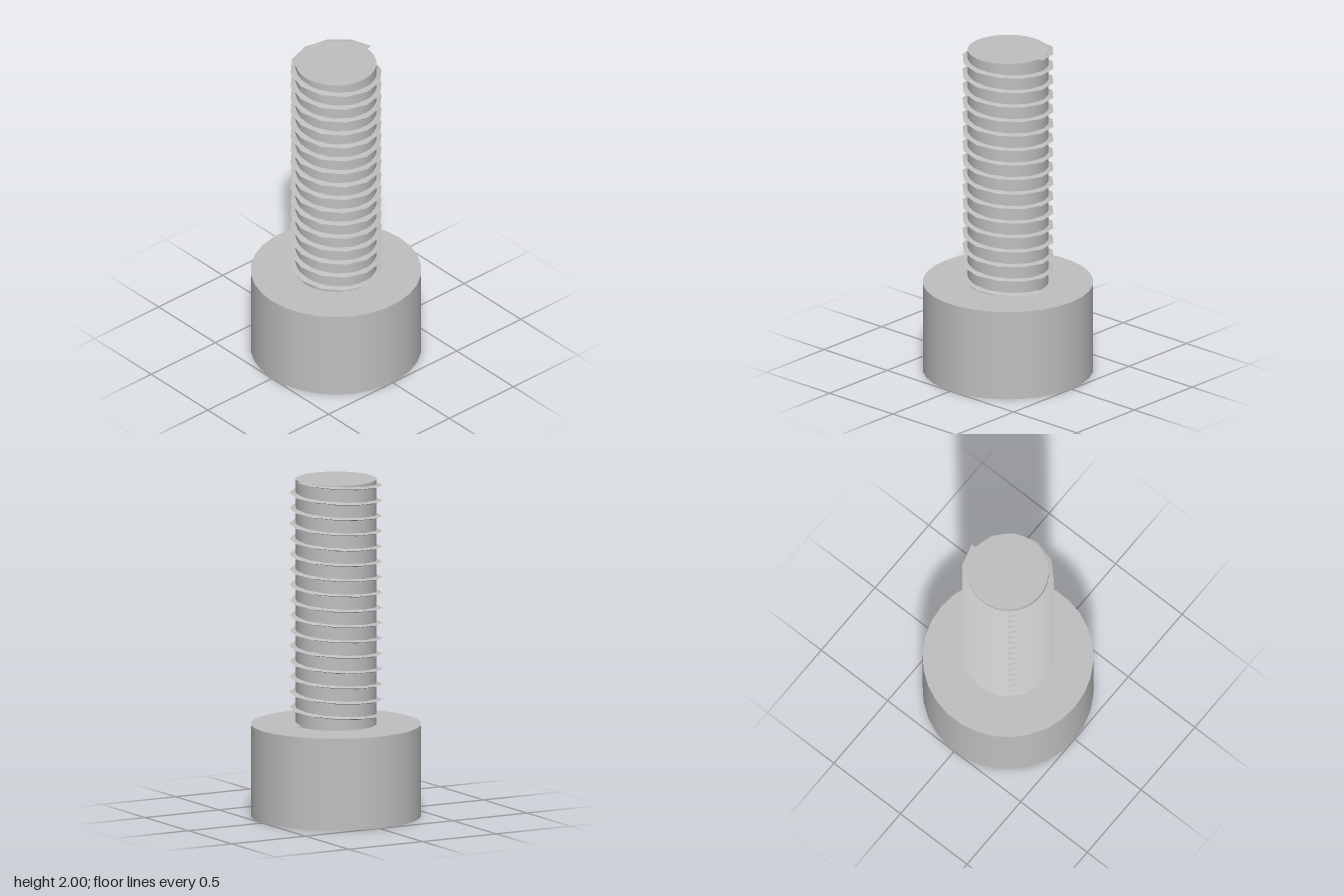
import * as THREE from 'three';
import { toCreasedNormals } from 'three/addons/utils/BufferGeometryUtils.js';

const HEAD_R = 0.5, HEAD_H = 0.545, SIDES = 30;
const HEX_R = 0.262, HEX_DEPTH = 0.213;
const CORE_R = 0.237, TOP = 2;
const TURNS = 16, STEPS = 12, TIP_R = 0.272, ROOT_R = 0.222, ROOT_HALF = 0.014;

// Points of a regular polygon with one corner on +x
function polygon(radius, sides) {
  return Array.from({ length: sides }, (_, i) => {
    const a = (i / sides) * Math.PI * 2;
    return new THREE.Vector2(radius * Math.cos(a), radius * Math.sin(a));
  });
}

// Open tube wall between two heights
function wall(radius, sides, y0, y1) {
  return new THREE.CylinderGeometry(radius, radius, y1 - y0, sides, 1, true, Math.PI / 2)
    .translate(0, (y0 + y1) / 2, 0);
}

// Triangular ridge swept along a helix, from +x towards +z
function threadGeometry() {
  const positions = [], index = [];
  const count = TURNS * STEPS, pitch = (TOP - HEAD_H) / TURNS;
  for (let i = 0; i <= count; i++) {
    const a = (i / STEPS) * Math.PI * 2, y = HEAD_H + (i / STEPS) * pitch;
    for (const [r, dy] of [[ROOT_R, -ROOT_HALF], [TIP_R, 0], [ROOT_R, ROOT_HALF]]) {
      positions.push(r * Math.cos(a), Math.min(y + dy, TOP), r * Math.sin(a));
    }
    if (i === count) continue;
    for (let k = 0; k < 2; k++) {
      const p = i * 3 + k;
      index.push(p, p + 1, p + 3, p + 3, p + 1, p + 4);
    }
  }
  const e = count * 3;
  index.push(0, 2, 1, e, e + 1, e + 2); // end faces
  const g = new THREE.BufferGeometry();
  g.setAttribute('position', new THREE.Float32BufferAttribute(positions, 3));
  g.setIndex(index);
  return toCreasedNormals(g, 0.6);
}

export function createModel() {
  const steel = new THREE.MeshStandardMaterial({ color: 0xbfbfbf });
  steel.name = 'steel grey';
  const model = new THREE.Group();
  model.name = 'socketScrew';

  const add = (parent, name, geometry) => {
    const mesh = new THREE.Mesh(geometry, steel);
    mesh.name = name;
    parent.add(mesh);
  };

  // Cylindrical head with a hexagonal socket in its underside
  const head = new THREE.Group();
  head.name = 'head';
  model.add(head);
  add(head, 'headSide', wall(HEAD_R, SIDES, 0, HEAD_H));
  add(head, 'headShoulder',
    new THREE.CircleGeometry(HEAD_R, SIDES).rotateX(-Math.PI / 2).translate(0, HEAD_H, 0));
  const face = new THREE.Shape(polygon(HEAD_R, SIDES));
  face.holes.push(new THREE.Path(polygon(HEX_R, 6)));
  add(head, 'headFace', new THREE.ShapeGeometry(face).rotateX(Math.PI / 2));

  // Socket walls face inwards
  const socket = wall(HEX_R, 6, 0, HEX_DEPTH);
  socket.setIndex(Array.from(socket.index.array).reverse());
  add(head, 'socketWalls', toCreasedNormals(socket, 0.5));
  add(head, 'socketFloor',
    new THREE.CircleGeometry(HEX_R, 6).rotateX(Math.PI / 2).translate(0, HEX_DEPTH, 0));

  // Threaded shank
  const shank = new THREE.Group();
  shank.name = 'shank';
  model.add(shank);
  add(shank, 'core', wall(CORE_R, SIDES, HEAD_H, TOP));
  add(shank, 'shankEnd',
    new THREE.CircleGeometry(CORE_R, SIDES).rotateX(-Math.PI / 2).translate(0, TOP, 0));
  add(shank, 'thread', threadGeometry());

  return model;
}
